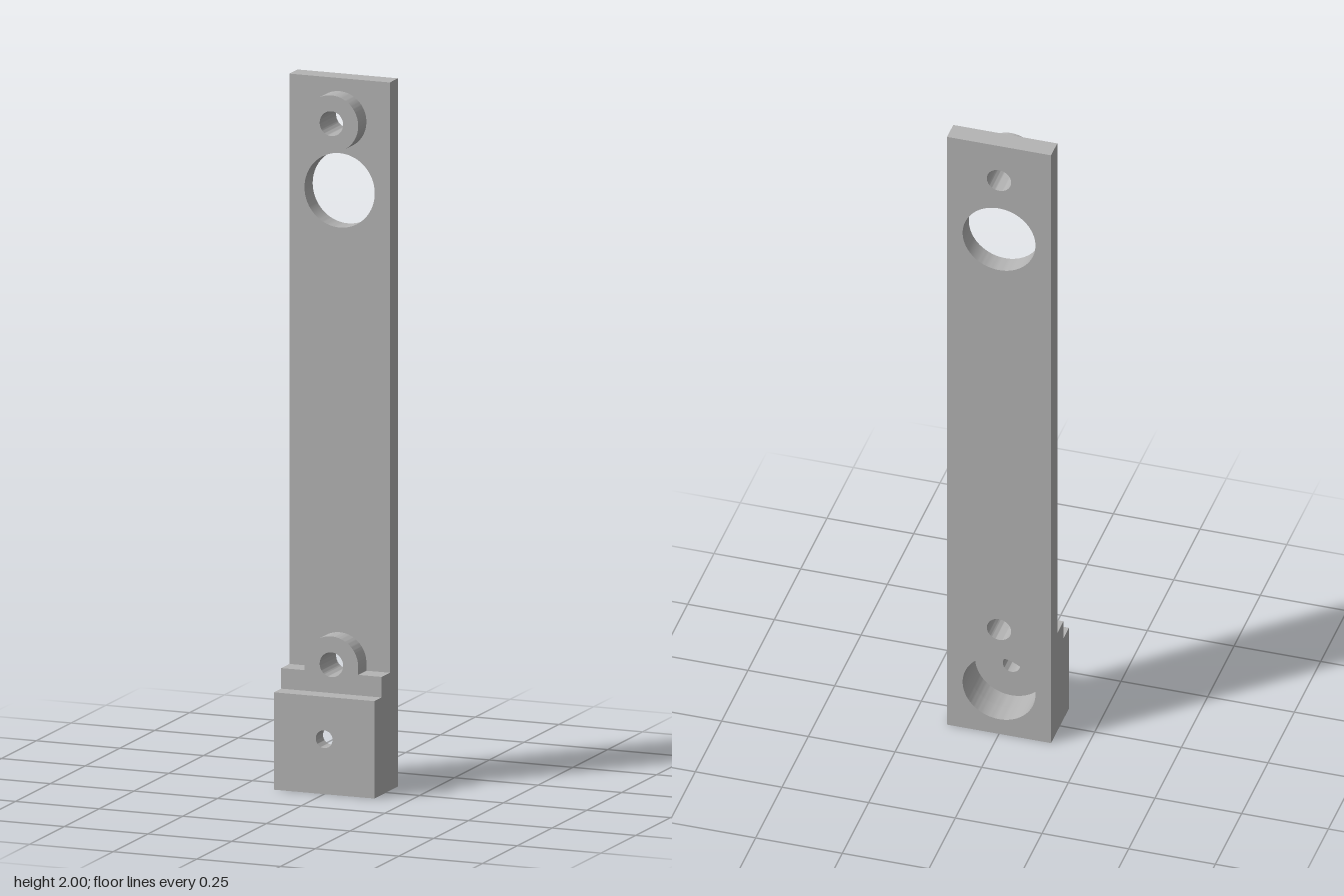
import * as THREE from 'three';
import { toCreasedNormals } from 'three/addons/utils/BufferGeometryUtils.js';

const HALF = 0.15;                                   // half width of the bar
const Z = { back: -0.085, plate: -0.026, step: 0.033, front: 0.085 };
const PIN = 0.035, BOSS = 0.08, BORE = 0.105, SCREW = 0.025;
const Y = { topPin: 1.883, window: 1.683, lowPin: 0.355, screw: 0.155 };

const circle = (y, r, Type = THREE.Path) => new Type().absarc(0, y, r, 0, Math.PI * 2, false);

function rect(height) {
  const s = new THREE.Shape();
  s.moveTo(-HALF, 0).lineTo(HALF, 0).lineTo(HALF, height).lineTo(-HALF, height).closePath();
  return s;
}

export function createModel() {
  const group = new THREE.Group();
  const grey = new THREE.MeshStandardMaterial({ color: 0xb4b4b4 });
  grey.name = 'grey';

  // Extrudes an outline with round holes [y, radius] between two depths
  function layer(name, shape, holes, z0, z1) {
    shape.holes = holes.map(([y, r]) => circle(y, r));
    const geo = new THREE.ExtrudeGeometry(shape, { depth: z1 - z0, bevelEnabled: false, curveSegments: 48 });
    geo.translate(0, 0, z0);
    const mesh = new THREE.Mesh(toCreasedNormals(geo, 0.5), grey);
    mesh.name = name;
    group.add(mesh);
  }

  // Long back plate with all through holes and the rear counterbore
  layer('backPlate', rect(2),
    [[Y.topPin, PIN], [Y.window, BORE], [Y.lowPin, PIN], [Y.screw, BORE]], Z.back, Z.plate);

  // Round boss near the top
  layer('topBoss', circle(Y.topPin, BOSS, THREE.Shape), [[Y.topPin, PIN]], Z.plate, Z.step);

  // Step with an arched boss rising from its upper edge
  const step = new THREE.Shape();
  step.moveTo(-HALF, 0).lineTo(HALF, 0).lineTo(HALF, 0.333).lineTo(BOSS, 0.333).lineTo(BOSS, Y.lowPin);
  step.absarc(0, Y.lowPin, BOSS, 0, Math.PI, false);
  step.lineTo(-BOSS, 0.333).lineTo(-HALF, 0.333).closePath();
  layer('archedStep', step, [[Y.lowPin, PIN], [Y.screw, BORE]], Z.plate, Z.step);

  // Front foot block, closing the counterbore except for a small screw hole
  layer('footBlock', rect(0.275), [[Y.screw, SCREW]], Z.step, Z.front);

  return group;
}
